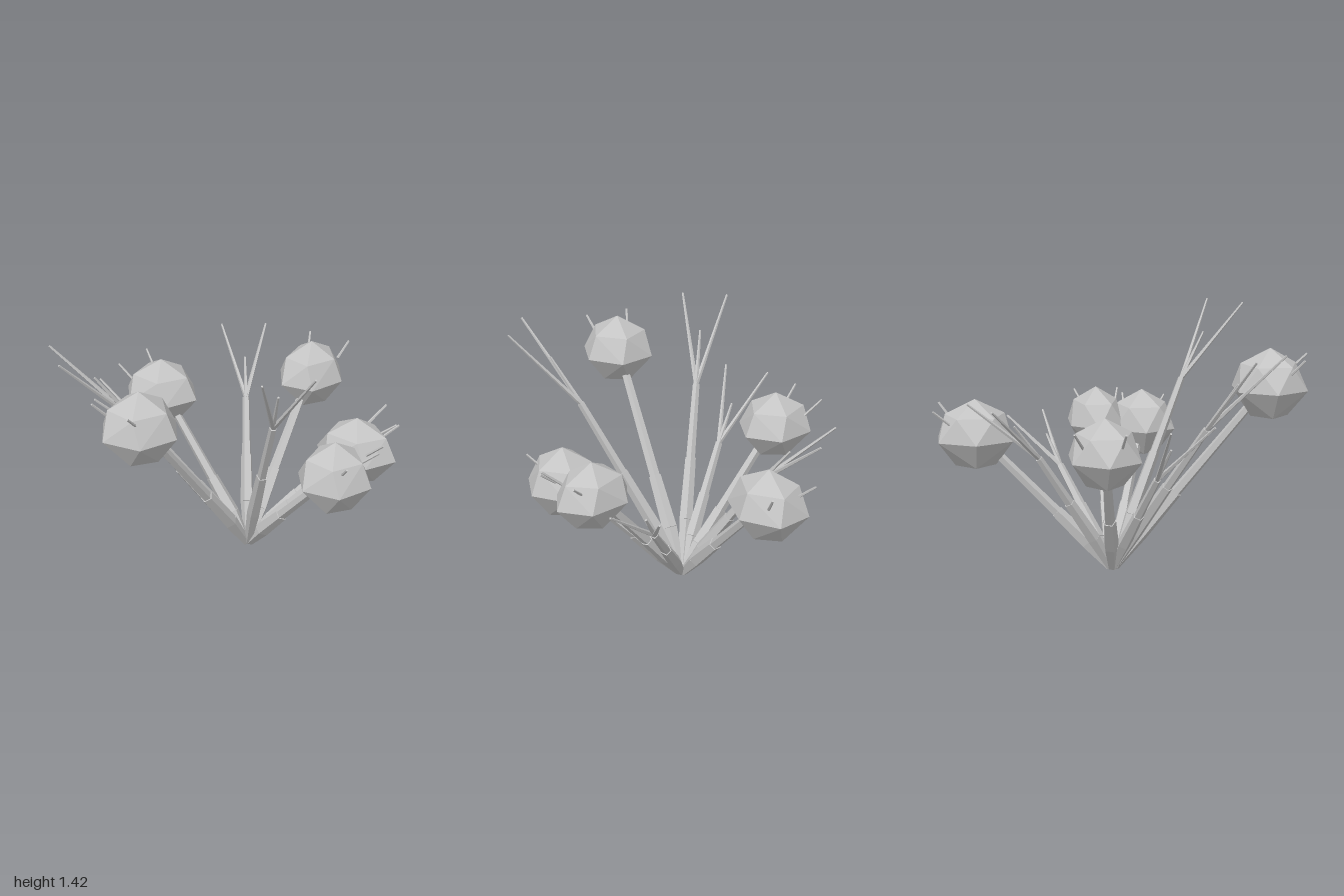
import * as THREE from 'three';
import { ConvexGeometry } from 'three/addons/geometries/ConvexGeometry.js';

const UP = new THREE.Vector3(0, 1, 0);
const ROOT = new THREE.Vector3(0, 0.01, -0.035);
const V = (p) => new THREE.Vector3(...p);

export function createModel() {
  const grey = new THREE.MeshStandardMaterial({ color: 0xc4c4c4, flatShading: true });
  grey.name = 'grey';
  const model = new THREE.Group();
  model.name = 'spikyPlant';

  function add(parent, name, geometry) {
    const mesh = new THREE.Mesh(geometry, grey);
    mesh.name = name;
    parent.add(mesh);
    return mesh;
  }

  // Tapered rod between two points
  function rod(parent, name, a, b, r0, r1, sides = 5) {
    const dir = b.clone().sub(a);
    const mesh = add(parent, name, new THREE.CylinderGeometry(r1, r0, dir.length(), sides));
    mesh.position.copy(a).add(b).multiplyScalar(0.5);
    mesh.quaternion.setFromUnitVectors(UP, dir.normalize());
  }

  // Stem in two stages, with a small step at the joint
  function stem(parent, end, joint, k) {
    const dir = end.clone().sub(ROOT);
    const at = (t) => ROOT.clone().addScaledVector(dir, t);
    const out = new THREE.Vector3(dir.x, 0, dir.z).normalize().multiplyScalar(0.015);
    const swell = at(0.45 * joint);
    rod(parent, 'stemBase', at(0).add(out), swell, 0.022 * k, 0.038 * k);
    rod(parent, 'lowerStem', swell, at(joint), 0.038 * k, 0.031 * k);
    rod(parent, 'upperStem', at(joint), end, 0.026 * k, 0.02 * k);
  }

  // Faceted pod with pointed top and flat underside: rings of [height, radius, corners]
  function podGeometry(sx, sy, sz) {
    const points = [new THREE.Vector3(0, sy / 2, 0)];
    for (const [y, r, n] of [[0.26, 0.37, 5], [-0.1, 0.5, 6], [-0.5, 0.24, 4]]) {
      for (let i = 0; i < n; i++) {
        const a = (i / n) * Math.PI * 2;
        points.push(new THREE.Vector3(Math.cos(a) * r * sx, y * sy, Math.sin(a) * r * sz * 1.12));
      }
    }
    return new ConvexGeometry(points);
  }

  // Pods: centre, overall size, and spines as [base, tip]
  const pods = [
    { c: [-0.2, 1.072, 0.785], s: [0.42, 0.365, 0.38],
      spines: [[[-0.33, 1.12, 0.86], [-0.38, 1.21, 0.93]], [[-0.14, 1.12, 0.9], [-0.14, 1.21, 1.0]]] },
    { c: [0.055, 0.782, -0.775], s: [0.39, 0.365, 0.41],
      spines: [[[-0.02, 0.83, -0.9], [-0.05, 0.92, -1.0]], [[0.17, 0.83, -0.9], [0.21, 0.92, -0.97]]] },
    { c: [-0.59, 0.805, -0.14], s: [0.44, 0.35, 0.36],
      spines: [[[-0.7, 0.85, -0.26], [-0.78, 0.94, -0.31]], [[-0.73, 0.85, -0.07], [-0.82, 0.94, -0.06]]] },
    { c: [0.625, 0.735, -0.06], s: [0.45, 0.35, 0.32],
      spines: [[[0.72, 0.77, -0.12], [0.82, 0.86, -0.17]], [[0.73, 0.77, 0.06], [0.83, 0.86, 0.09]]] },
    { c: [0.615, 0.705, 0.21], s: [0.41, 0.37, 0.37],
      spines: [[[0.71, 0.74, 0.12], [0.82, 0.83, 0.12]], [[0.68, 0.75, 0.3], [0.74, 0.83, 0.36]]] },
  ];
  for (const { c, s, spines } of pods) {
    const branch = new THREE.Group();
    branch.name = 'podBranch';
    model.add(branch);
    const center = V(c);
    stem(branch, ROOT.clone().lerp(center, 0.9), 0.46, 1.15);
    add(branch, 'pod', podGeometry(...s)).position.copy(center);
    for (const [a, b] of spines) rod(branch, 'spine', V(a), V(b), 0.008, 0.006);
  }

  // Forked branches: node, then the ends of two long twigs and a short one
  const forks = [
    { node: [-0.21, 0.69, -0.45], tips: [[-0.49, 1.0, -0.7], [-0.26, 1.0, -0.82], [-0.28, 0.88, -0.58]] },
    { node: [0.4, 0.5, -0.29], tips: [[0.6, 0.755, -0.58], [0.74, 0.755, -0.365], [0.51, 0.66, -0.36]] },
    { node: [-0.43, 0.61, 0.15], tips: [[-0.81, 0.94, 0.16], [-0.7, 0.94, 0.4], [-0.57, 0.8, 0.2]] },
    { node: [-0.47, 0.88, 0.4], tips: [[-0.85, 1.29, 0.57], [-0.67, 1.29, 0.76], [-0.61, 1.14, 0.53]] },
    { node: [0.35, 1.0, 0.4], tips: [[0.46, 1.41, 0.77], [0.66, 1.41, 0.6], [0.44, 1.25, 0.54]] },
  ];
  for (const { node, tips } of forks) {
    const branch = new THREE.Group();
    branch.name = 'forkedBranch';
    model.add(branch);
    stem(branch, V(node), 0.6, 1.02);
    for (const tip of tips) rod(branch, 'twig', V(node), V(tip), 0.014, 0.006);
  }
  return model;
}
